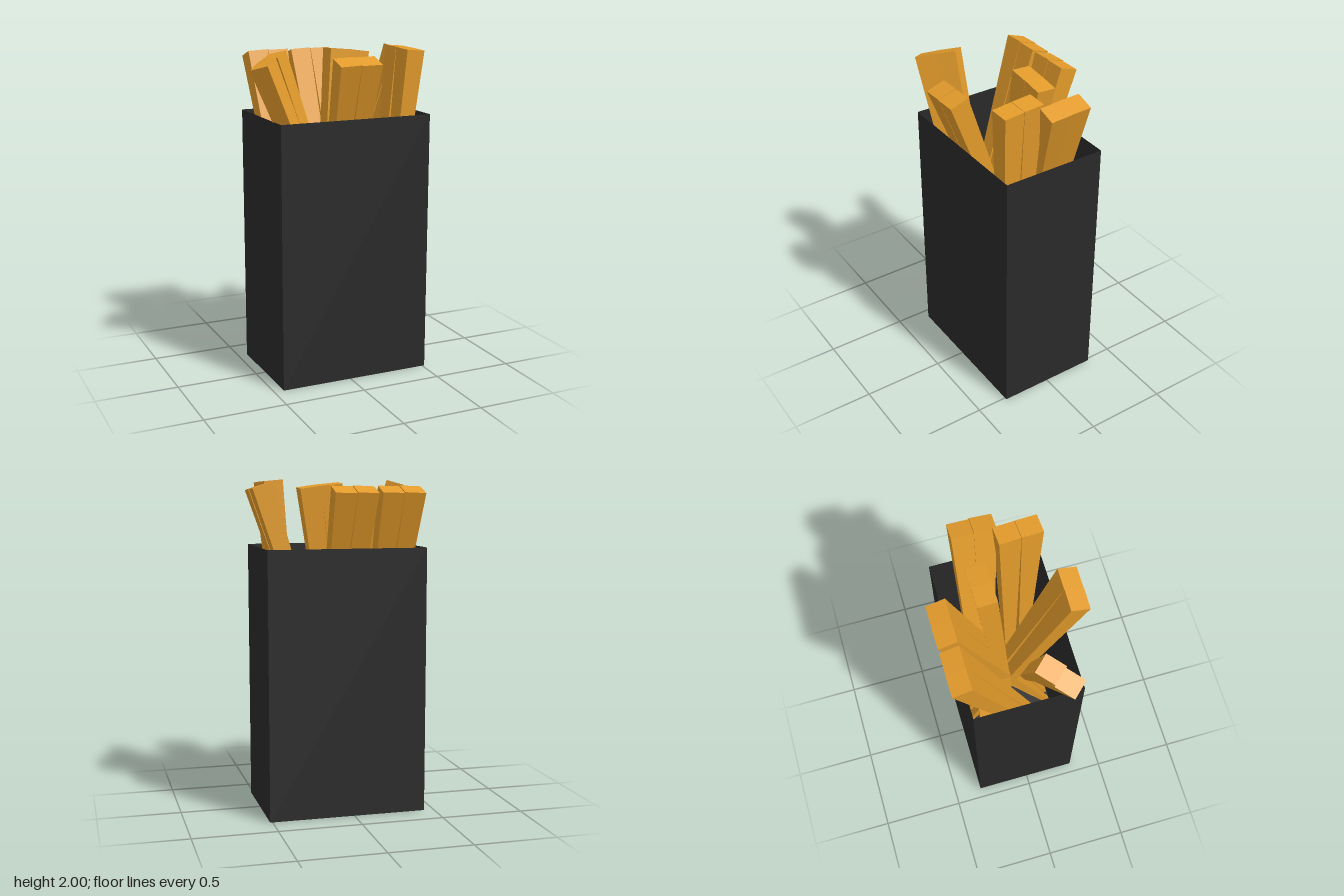
import * as THREE from 'three';

const boxMaterial = new THREE.MeshStandardMaterial({ color: 0x292929, side: THREE.DoubleSide });
const fryMaterial = new THREE.MeshStandardMaterial({ color: 0xe39b2b, flatShading: true });

// Open-topped carton: a box without its top face
function createCarton() {
  const geometry = new THREE.BoxGeometry(0.955, 1.6, 0.64);
  const index = Array.from(geometry.index.array);
  index.splice(12, 6);
  geometry.setIndex(index);
  geometry.clearGroups();
  const carton = new THREE.Mesh(geometry, boxMaterial);
  carton.name = 'carton';
  carton.position.set(0.0375, 0.8, -0.01);
  return carton;
}

// Square stick from the top centre to the bottom centre, narrowing downwards;
// angle turns its width direction about the vertical
function createFry(top, bottom, angle) {
  const t = new THREE.Vector3(...top);
  const b = new THREE.Vector3(...bottom);
  const axis = t.clone().sub(b);
  const length = axis.length();
  axis.normalize();
  const across = new THREE.Vector3(Math.cos(angle), 0, Math.sin(angle));
  across.addScaledVector(axis, -across.dot(axis)).normalize();
  const depth = new THREE.Vector3().crossVectors(across, axis);

  const geometry = new THREE.BoxGeometry(0.128, length, 0.117);
  const p = geometry.attributes.position;
  for (let i = 0; i < p.count; i++) {
    if (p.getY(i) < 0) p.setXYZ(i, p.getX(i) * 0.28, p.getY(i), p.getZ(i) * 0.28);
  }
  geometry.applyMatrix4(new THREE.Matrix4().makeBasis(across, axis, depth));
  geometry.computeVertexNormals();
  const fry = new THREE.Mesh(geometry, fryMaterial);
  fry.position.copy(t).add(b).multiplyScalar(0.5);
  return fry;
}

// Each pair: name, width angle, then top and bottom centres of both fries
const floor = 0.05;
const pairs = [
  ['backRightFries', 0,
    [-0.335, 1.94, -0.368], [-0.24, floor, 0.285],
    [-0.205, 1.94, -0.368], [-0.172, floor, 0.285]],
  ['backMiddleFries', 0,
    [-0.055, 1.94, -0.37], [0.04, floor, 0.285],
    [0.075, 1.94, -0.37], [0.108, floor, 0.285]],
  ['frontFries', 0,
    [-0.055, 1.94, 0.367], [0.04, floor, -0.285],
    [0.075, 1.94, 0.367], [0.108, floor, -0.285]],
  ['rightFries', -0.73,
    [-0.405, 1.965, 0.11], [0.27, floor, 0.125],
    [-0.497, 1.93, 0.19], [0.27, floor, 0.175]],
  ['leftFries', Math.PI / 2,
    [0.515, 1.96, -0.13], [-0.08, floor, -0.195],
    [0.518, 1.955, 0], [-0.08, floor, -0.16]],
  ['middleFries', 0,
    [0.095, 1.97, -0.108], [-0.1, floor, 0.018],
    [0.222, 1.955, -0.108], [-0.05, floor, 0.018]],
  ['frontLeftFries', Math.PI / 2 - 0.06,
    [0.407, 1.99, 0.106], [0.225, floor, 0.07],
    [0.415, 1.985, 0.236], [0.25, floor, 0.145]],
];

export function createModel() {
  const model = new THREE.Group();
  model.name = 'cartonOfFries';
  model.add(createCarton());
  for (const [name, angle, topA, bottomA, topB, bottomB] of pairs) {
    const pair = new THREE.Group();
    pair.name = name;
    const first = createFry(topA, bottomA, angle);
    const second = createFry(topB, bottomB, angle);
    first.name = 'firstFry';
    second.name = 'secondFry';
    pair.add(first, second);
    model.add(pair);
  }
  return model;
}
